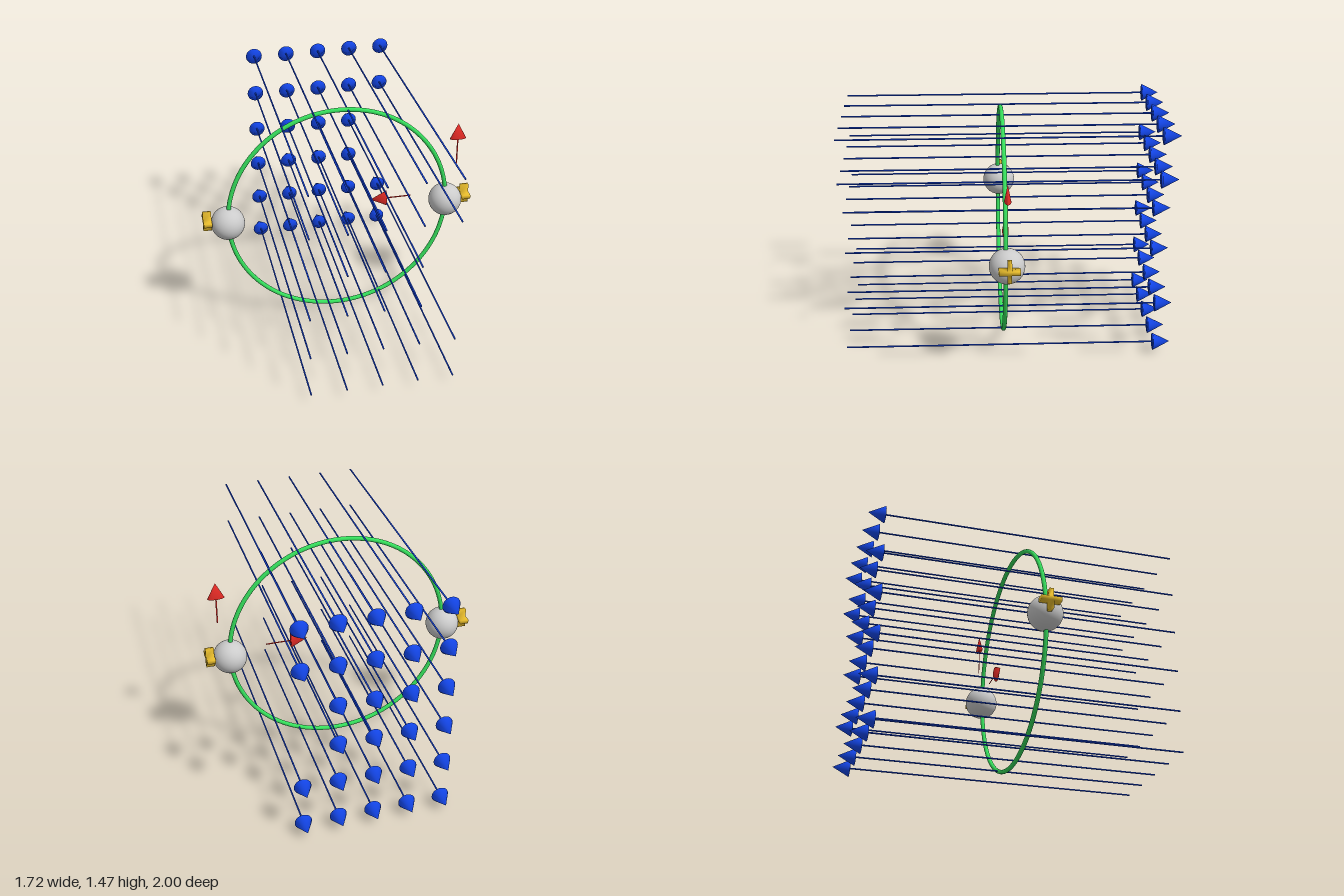
import * as THREE from 'three';
import { mergeVertices } from 'three/addons/utils/BufferGeometryUtils.js';

const mat = color => new THREE.MeshStandardMaterial({ color });
const GREY = mat(0xcccccc), BLUE = mat(0x1448f0), GREEN = mat(0x36de5c),
  RED = mat(0xe82c26), GOLD = mat(0xe8bc2c);

function addMesh(parent, name, geometry, material, x = 0, y = 0, z = 0) {
  const mesh = new THREE.Mesh(geometry, material);
  mesh.name = name;
  mesh.position.set(x, y, z);
  parent.add(mesh);
  return mesh;
}

// Shade across all edges by sharing the vertices
function soften(geometry) {
  geometry.deleteAttribute('uv');
  geometry.deleteAttribute('normal');
  const soft = mergeVertices(geometry, 1e-4);
  soft.computeVertexNormals();
  return soft;
}

// Arrow that starts at the origin and points up +y
function makeArrow(name, length, shaftRadius, material) {
  const headLength = 0.105;
  const shaftLength = length - headLength;
  const arrow = new THREE.Group();
  arrow.name = name;
  addMesh(arrow, 'arrowShaft', soften(new THREE.CylinderGeometry(shaftRadius, shaftRadius, shaftLength, 12)),
    material, 0, shaftLength / 2, 0);
  addMesh(arrow, 'arrowHead', soften(new THREE.ConeGeometry(0.053, headLength, 32)),
    material, 0, length - headLength / 2, 0);
  return arrow;
}

// Plus sign as a solid, extruded along x
function plusGeometry(size, bar, depth) {
  const a = size / 2, b = bar / 2;
  const shape = new THREE.Shape([
    [-b, -a], [b, -a], [b, -b], [a, -b], [a, b], [b, b],
    [b, a], [-b, a], [-b, b], [-a, b], [-a, -b], [-b, -b],
  ].map(([x, y]) => new THREE.Vector2(x, y)));
  return soften(new THREE.ExtrudeGeometry(shape, { depth, bevelEnabled: false })
    .translate(0, 0, -depth / 2).rotateY(Math.PI / 2));
}

export function createModel() {
  const model = new THREE.Group();
  model.name = 'chargeInFieldDiagram';

  // Field arrows running from front to back, with a gap beside the left charge
  const field = new THREE.Group();
  field.name = 'fieldArrows';
  model.add(field);
  for (let row = 0; row < 6; row++) {
    for (let col = 0; col < 5; col++) {
      if (col === 4 && (row === 2 || row === 3)) continue;
      const arrow = makeArrow('fieldArrow', 2, 0.005, BLUE);
      arrow.position.set(-0.376 + col * 0.2162, 0.073 + row * 0.27, 1);
      arrow.rotation.x = -Math.PI / 2;
      field.add(arrow);
    }
  }

  // Circular path
  addMesh(model, 'orbitRing', new THREE.TorusGeometry(0.705, 0.014, 16, 128), GREEN, 0, 0.72, 0.027);

  // Charges on both sides, each with a plus on its outer side
  for (const [side, name] of [[1, 'left'], [-1, 'right']]) {
    addMesh(model, name + 'Charge', new THREE.SphereGeometry(0.106, 48, 32), GREY, side * 0.706, 0.713, 0.02);
    addMesh(model, name + 'PlusSign', plusGeometry(0.126, 0.026, 0.053), GOLD, side * 0.8345, 0.737, 0.01);
  }

  // Velocity and force arrows, flattened in depth
  const velocity = makeArrow('velocityArrow', 0.28, 0.0045, RED);
  velocity.position.set(0.771, 0.969, 0.019);
  const force = makeArrow('forceArrow', 0.265, 0.0045, RED);
  force.position.set(0.475, 0.764, 0.014);
  force.rotation.z = Math.PI / 2;
  for (const arrow of [velocity, force]) {
    arrow.scale.z = 0.38;
    model.add(arrow);
  }

  return model;
}
